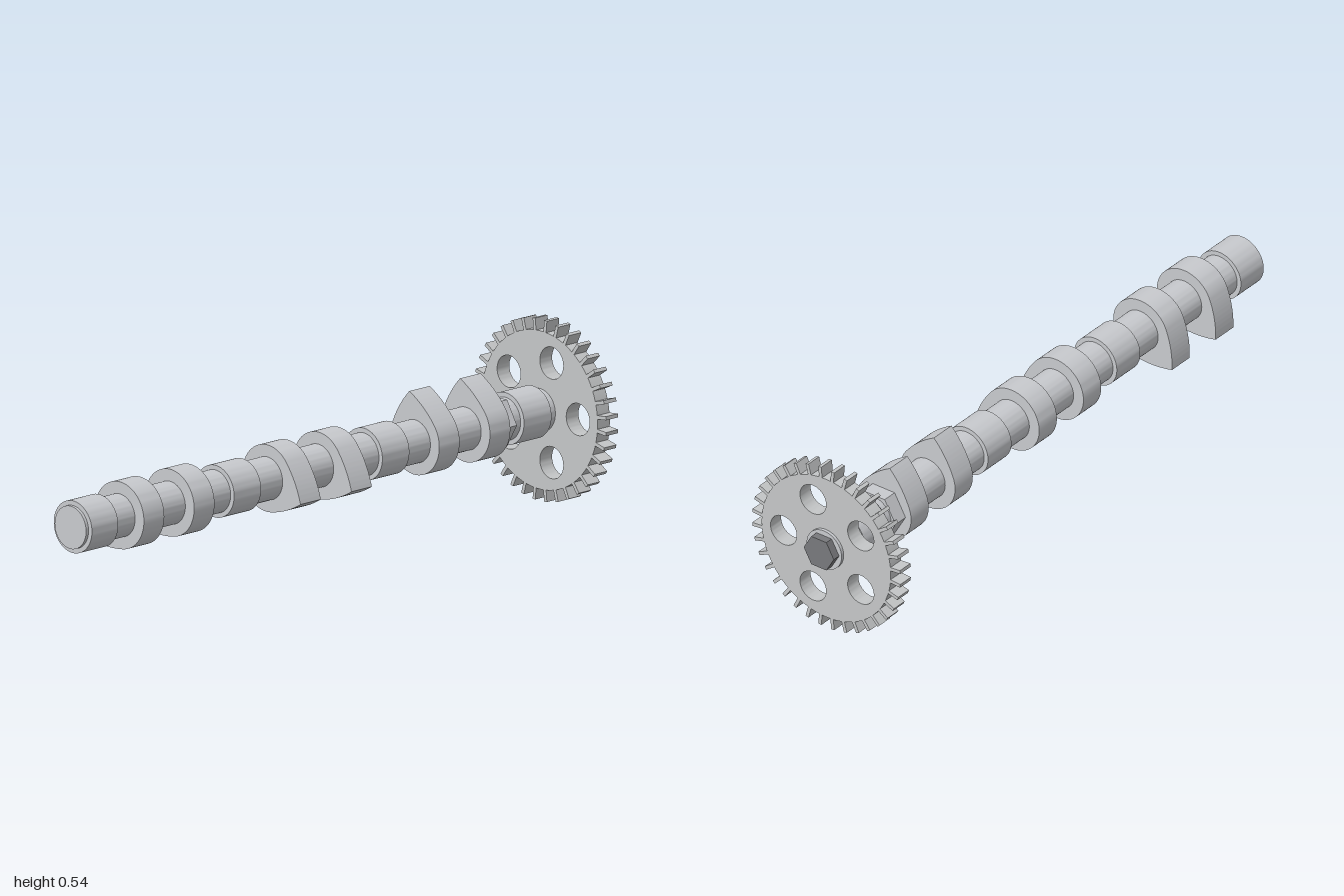
import * as THREE from 'three';
import { toCreasedNormals } from 'three/addons/utils/BufferGeometryUtils.js';

const AXIS_Y = 0.27;

const steel = new THREE.MeshStandardMaterial({ color: 0xc8cace });
steel.name = 'steel';
const gearSteel = new THREE.MeshStandardMaterial({ color: 0xc5c7c8 });
gearSteel.name = 'gearSteel';
const boltSteel = new THREE.MeshStandardMaterial({ color: 0x78797c });
boltSteel.name = 'boltSteel';

// Cylinder or prism along z between two z positions
function barrel(radius, zFront, zBack, sides = 64) {
  const g = new THREE.CylinderGeometry(radius, radius, zFront - zBack, sides);
  if (sides < 12) g.rotateY(Math.PI / 2); // prism corners point to the sides
  g.rotateX(Math.PI / 2).translate(0, 0, (zFront + zBack) / 2);
  return toCreasedNormals(g, 0.5);
}

// Extruded profile between two z positions
function slab(shape, zFront, zBack, curveSegments) {
  const g = new THREE.ExtrudeGeometry(shape, { depth: zFront - zBack, bevelEnabled: false, curveSegments });
  g.translate(0, 0, zBack);
  return toCreasedNormals(g, 0.3);
}

// Cam profile with its tip on +x: base circle and two tangent flank arcs
function lobeShape() {
  const base = 0.1, tip = 0.147, phi = Math.PI / 3;
  const d = (tip * tip - base * base) / (2 * (base - tip * Math.cos(phi)));
  const cx = -d * Math.cos(phi), cy = d * Math.sin(phi);
  const start = Math.atan2(cy, tip - cx);
  const s = new THREE.Shape();
  s.absarc(cx, -cy, base + d, start, phi, false);
  s.absarc(0, 0, base, phi, 2 * Math.PI - phi, false);
  s.absarc(cx, cy, base + d, -phi, -start, false);
  return s;
}

// Timing wheel: disc with narrow straight teeth and five round holes
function gearShape() {
  const root = 0.236, outer = 0.271, half = 0.0055, teeth = 36;
  const step = (2 * Math.PI) / teeth, rootHalf = Math.asin(half / root);
  const s = new THREE.Shape();
  for (let i = 0; i < teeth; i++) {
    const a = (i + 0.5) * step, c = Math.cos(a), n = Math.sin(a);
    const corner = (r, w) => [r * c - w * n, r * n + w * c];
    const r0 = root * Math.cos(rootHalf);
    if (i === 0) s.moveTo(...corner(r0, -half));
    s.lineTo(...corner(outer, -half));
    s.lineTo(...corner(outer, half));
    s.lineTo(...corner(r0, half));
    for (let k = 1; k <= 4; k++) {
      const b = a + rootHalf + (step - 2 * rootHalf) * k / 4;
      if (i < teeth - 1 || k < 4) s.lineTo(root * Math.cos(b), root * Math.sin(b));
    }
  }
  for (let i = 0; i < 5; i++) {
    const a = (i * 2 * Math.PI) / 5;
    const hole = new THREE.Path();
    hole.absarc(0.156 * Math.cos(a), 0.156 * Math.sin(a), 0.048, 0, 2 * Math.PI, true);
    s.holes.push(hole);
  }
  return s;
}

export function createModel() {
  const model = new THREE.Group();
  model.name = 'camshaft';
  const add = (name, geometry, material) => {
    const mesh = new THREE.Mesh(geometry, material);
    mesh.name = name;
    mesh.position.y = AXIS_Y;
    model.add(mesh);
  };

  add('shaft', barrel(0.064, 1, -0.975), steel);

  // Bearing journals
  [[0.99, 0.883], [0.41, 0.3], [-0.195, -0.305], [-0.773, -0.885]].forEach(([f, b], i) =>
    add(`journal${i + 1}`, barrel(0.078, f, b), steel));

  // Three pairs of cam lobes, 120 degrees apart
  const pairs = [
    { tip: 218.7, fronts: [0.8, 0.595] },
    { tip: -21.3, fronts: [0.198, -0.01] },
    { tip: 98.7, fronts: [-0.405, -0.612] },
  ];
  pairs.forEach(({ tip, fronts }, p) => fronts.forEach((z, i) => {
    const g = slab(lobeShape(), z, z - 0.083, 24);
    g.rotateZ(THREE.MathUtils.degToRad(tip));
    add(`camLobe${p * 2 + i + 1}`, g, steel);
  }));

  // Hexagonal wrench section, timing wheel and end bolt
  add('hexSection', barrel(0.08, -0.69, -0.742, 6), steel);
  add('timingWheel', slab(gearShape(), -0.915, -0.965, 24), gearSteel);
  add('endBolt', barrel(0.055, -0.96, -1, 6), boltSteel);

  return model;
}
